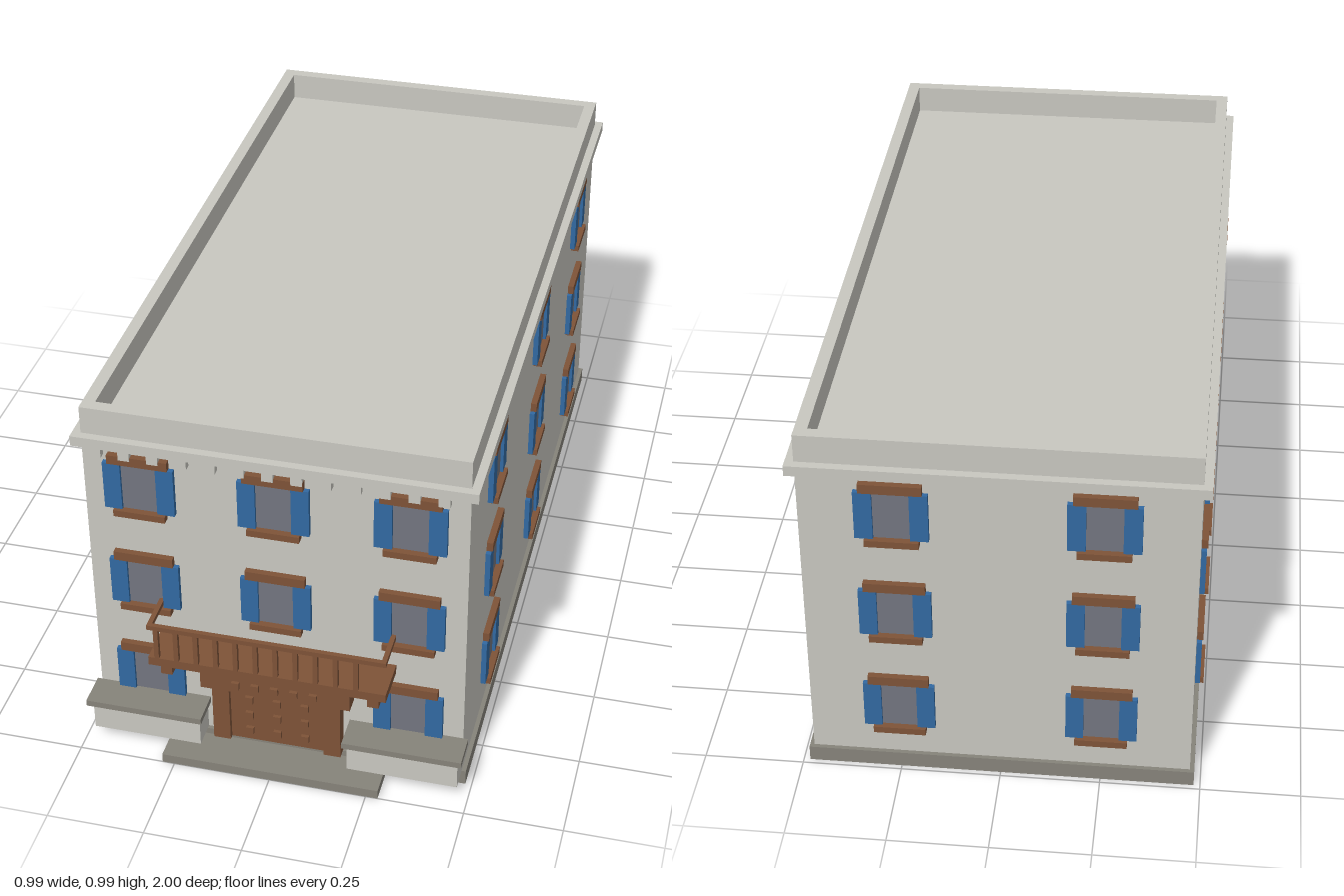
import * as THREE from 'three';

const mat = (name, color) => {
  const m = new THREE.MeshStandardMaterial({ color });
  m.name = name;
  return m;
};

export function createModel() {
  const stone = mat('wall stone', 0xc8c7c0);
  const plinthGrey = mat('plinth grey', 0x86837a);
  const wood = mat('brown wood', 0x7e5338);
  const blue = mat('shutter blue', 0x3269a1);
  const glass = mat('window glass', 0x72757f);

  const model = new THREE.Group();
  model.name = 'building';

  // Box given by its min and max on each axis
  const box = (name, material, [x0, x1], [y0, y1], [z0, z1], parent = model) => {
    const mesh = new THREE.Mesh(new THREE.BoxGeometry(x1 - x0, y1 - y0, z1 - z0), material);
    mesh.position.set((x0 + x1) / 2, (y0 + y1) / 2, (z0 + z1) / 2);
    mesh.name = name;
    parent.add(mesh);
    return mesh;
  };
  const group = (name) => {
    const g = new THREE.Group();
    g.name = name;
    model.add(g);
    return g;
  };

  const W = 0.473, FRONT = 0.886, BACK = -0.976, MID = (FRONT + BACK) / 2;

  // Main volume, plinth and cornice
  box('plinth', plinthGrey, [-0.484, 0.484], [0, 0.042], [BACK - 0.011, FRONT + 0.011]);
  box('body', stone, [-W, W], [0.042, 0.914], [BACK, FRONT]);
  const C = 0.021;
  const cornice = group('cornice');
  for (const s of [-1, 1]) {
    const xs = s < 0 ? [-W - C, -W] : [W, W + C];
    box('corniceSide', stone, xs, [0.888, 0.915], [BACK - C, FRONT + C], cornice);
  }
  box('corniceFront', stone, [-W, W], [0.888, 0.915], [FRONT, FRONT + C], cornice);
  box('corniceBack', stone, [-W, W], [0.888, 0.915], [BACK - C, BACK], cornice);

  // Parapet around the roof deck
  const T = 0.031, parapet = group('parapet');
  box('parapetLeft', stone, [W - T, W], [0.914, 0.988], [BACK, FRONT], parapet);
  box('parapetRight', stone, [-W, -W + T], [0.914, 0.988], [BACK, FRONT], parapet);
  box('parapetFront', stone, [-W + T, W - T], [0.914, 0.988], [FRONT - T, FRONT], parapet);
  box('parapetBack', stone, [-W + T, W - T], [0.914, 0.988], [BACK, BACK + T], parapet);

  // Dentils under the front cornice
  const dentils = group('dentils');
  for (let i = 0; i < 13; i++) {
    const x = -0.434 + i * 0.0706;
    box('dentil', stone, [x - 0.014, x + 0.014], [0.863, 0.888], [FRONT, FRONT + 0.019], dentils);
  }

  // Shuttered window, wall plane at local z = 0
  const addWindow = (x, y, z, turn) => {
    const w = group('window');
    box('pane', glass, [-0.044, 0.044], [-0.066, 0.066], [0, 0.005], w);
    for (const s of [-1, 1]) {
      const xs = s < 0 ? [-0.088, -0.044] : [0.044, 0.088];
      box('shutter', blue, xs, [-0.066, 0.066], [0, 0.013], w);
    }
    box('lintel', wood, [-0.075, 0.075], [0.066, 0.091], [0, 0.016], w);
    box('sill', wood, [-0.065, 0.065], [-0.084, -0.066], [0, 0.022], w);
    w.position.set(x, y, z);
    w.rotation.y = turn;
  };
  [0.2, 0.49, 0.78].forEach((y, floor) => {
    for (const x of [-0.333, 0, 0.333]) {
      if (floor > 0 || x !== 0) addWindow(x, y, FRONT, 0);
    }
    for (const x of [-0.25, 0.25]) addWindow(x, y, BACK, Math.PI);
    for (const dz of [-0.623, 0, 0.623]) {
      addWindow(W, y, MID + dz, Math.PI / 2);
      addWindow(-W, y, MID + dz, -Math.PI / 2);
    }
  });

  // Entrance step and low walls with capstones
  box('entranceStep', plinthGrey, [-0.281, 0.281], [0, 0.025], [FRONT + 0.011, 1]);
  for (const s of [-1, 1]) {
    const span = (a, b) => (s < 0 ? [-b, -a] : [a, b]);
    box('lowWall', stone, span(0.191, W), [0.042, 0.125], [FRONT, 0.957]);
    box('lowWallCap', plinthGrey, span(0.182, 0.485), [0.125, 0.142], [FRONT, 0.975]);
  }

  // Door with jambs, carved studs and a heavy lintel
  const door = group('door');
  box('doorPanel', wood, [-0.122, 0.122], [0.042, 0.211], [FRONT, 0.908], door);
  for (const xs of [[-0.166, -0.122], [0.122, 0.166]]) {
    box('doorJamb', wood, xs, [0.042, 0.211], [FRONT, 0.922], door);
  }
  box('doorLintel', wood, [-0.193, 0.193], [0.211, 0.263], [FRONT, 0.93], door);
  const stud = (x, y, z) =>
    box('stud', wood, [x - 0.01, x + 0.01], [y - 0.01, y + 0.01], [z, z + 0.009], door);
  for (const x of [-0.072, 0, 0.072]) for (const y of [0.076, 0.127, 0.177]) stud(x, y, 0.908);
  for (let i = -2; i <= 2; i++) stud(i * 0.05, 0.238, 0.93);

  // Balcony on two brackets with a railing
  const balcony = group('balcony');
  box('balconySlab', wood, [-0.3, 0.3], [0.323, 0.347], [FRONT, 1], balcony);
  for (const xs of [[-0.277, -0.248], [0.248, 0.277]]) {
    box('bracket', wood, xs, [0.28, 0.323], [FRONT, 0.978], balcony);
  }
  box('frontRail', wood, [-0.3, 0.3], [0.434, 0.447], [0.988, 1], balcony);
  for (const xs of [[-0.3, -0.288], [0.288, 0.3]]) {
    box('sideRail', wood, xs, [0.434, 0.447], [FRONT, 0.988], balcony);
  }
  for (let i = 0; i < 11; i++) {
    const x = -0.278 + i * 0.0503;
    box('baluster', wood, [x - 0.006, x + 0.006], [0.347, 0.434], [0.988, 1], balcony);
  }

  return model;
}
